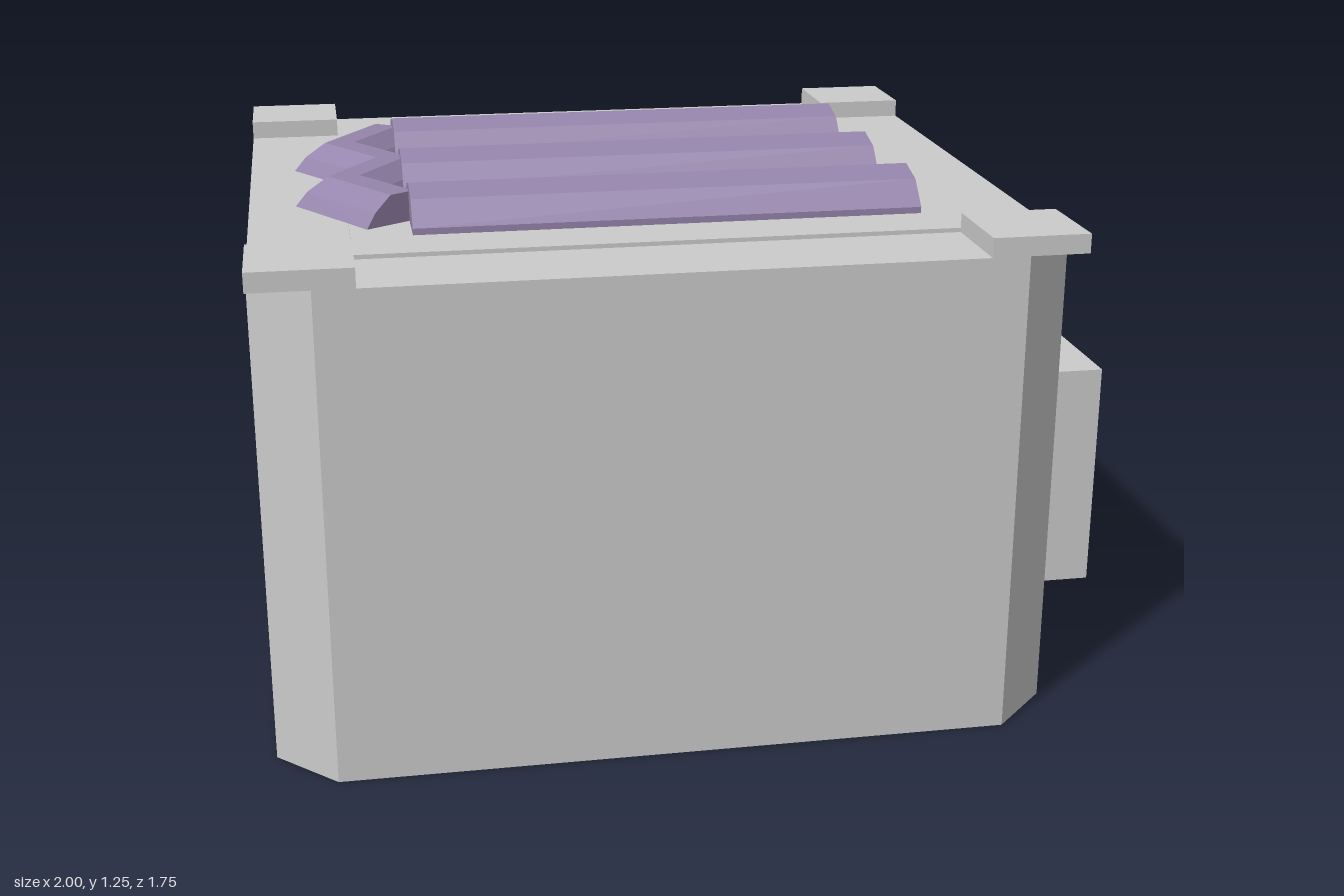
import * as THREE from 'three';

const grey = new THREE.MeshStandardMaterial({ color: 0xcccccc, flatShading: true });
const purple = new THREE.MeshStandardMaterial({ color: 0x9584ab, flatShading: true });

const X0 = -1, X1 = 0.835, ZH = 0.873, CHAMFER = 0.137, DECK = 1.155;

function add(group, name, geometry, material = grey) {
  const mesh = new THREE.Mesh(geometry, material);
  mesh.name = name;
  group.add(mesh);
  return mesh;
}

// Box given by its minimum and maximum on each axis
function span(x0, x1, y0, y1, z0, z1) {
  return new THREE.BoxGeometry(x1 - x0, y1 - y0, z1 - z0)
    .translate((x0 + x1) / 2, (y0 + y1) / 2, (z0 + z1) / 2);
}

function polygon(points) {
  return new THREE.Shape(points.map(([x, y]) => new THREE.Vector2(x, y)));
}

// Skin through equal-length rings of points, with both ends capped
function loft(rings) {
  const n = rings[0].length, index = [];
  for (let r = 0; r < rings.length - 1; r++) {
    for (let i = 0; i < n; i++) {
      const a = r * n + i, b = r * n + (i + 1) % n;
      index.push(a, a + n, b, b, a + n, b + n);
    }
  }
  const last = (rings.length - 1) * n;
  for (let i = 1; i < n - 1; i++) {
    index.push(0, i, i + 1, last, last + i + 1, last + i);
  }
  const g = new THREE.BufferGeometry();
  g.setAttribute('position', new THREE.Float32BufferAttribute(rings.flat(2), 3));
  g.setIndex(index);
  const flat = g.toNonIndexed();
  flat.computeVertexNormals();
  return flat;
}

export function createModel() {
  const model = new THREE.Group();
  model.name = 'crate';

  // Body with chamfered vertical corners
  const c = CHAMFER;
  const outline = polygon([
    [X0 + c, -ZH], [X1 - c, -ZH], [X1, -ZH + c], [X1, ZH - c],
    [X1 - c, ZH], [X0 + c, ZH], [X0, ZH - c], [X0, -ZH + c],
  ]);
  add(model, 'body', new THREE.ExtrudeGeometry(outline, { depth: DECK, bevelEnabled: false }).rotateX(-Math.PI / 2));

  // Slightly raised lid panel
  add(model, 'lidPanel', span(-0.77, 0.61, DECK - 0.02, 1.165, -0.648, 0.648));

  // Square pads overhanging the chamfered corners
  for (const [x0, x1] of [[X0, -0.77], [0.61, X1]]) {
    for (const [z0, z1] of [[-ZH, -0.648], [0.648, ZH]]) {
      add(model, 'cornerPad', span(x0, x1, DECK, 1.2, z0, z1));
    }
  }

  // Blocks on the side wall
  for (const z of [-0.462, 0, 0.46]) {
    add(model, 'sideBlock', span(X1 - 0.01, 1, 0.235, 0.783, z - 0.137, z + 0.137));
  }

  // Long faceted bars on the lid
  const profile = polygon([
    [-0.135, 1.16], [0.135, 1.16], [0.135, 1.18], [0.08, 1.235],
    [0, 1.255], [-0.08, 1.235], [-0.135, 1.18],
  ]);
  for (const z of [-0.37, 0, 0.367]) {
    const bar = add(model, 'bar', new THREE.ExtrudeGeometry(profile, { depth: 1.19, bevelEnabled: false })
      .rotateY(Math.PI / 2), purple);
    bar.position.set(-0.63, 0, z);
  }

  // Zigzag connector: centre x, z and half-width direction x, z at each bend
  const bends = [
    [-0.645, 0.38, 0.085, -0.055], [-0.772, 0.187, 0.117, 0], [-0.65, 0, 0.117, 0],
    [-0.772, -0.187, 0.117, 0], [-0.645, -0.385, 0.085, 0.055],
  ];
  const section = [[-1, 1.165], [-0.75, 1.2], [-0.32, 1.235], [0.32, 1.235], [0.75, 1.2], [1, 1.165]];
  const rings = bends.map(([x, z, dx, dz]) => section.map(([u, y]) => [x + u * dx, y, z + u * dz]));
  const connector = loft(rings.map((ring) => ring.slice().reverse()));
  add(model, 'connector', connector, purple);

  return model;
}
